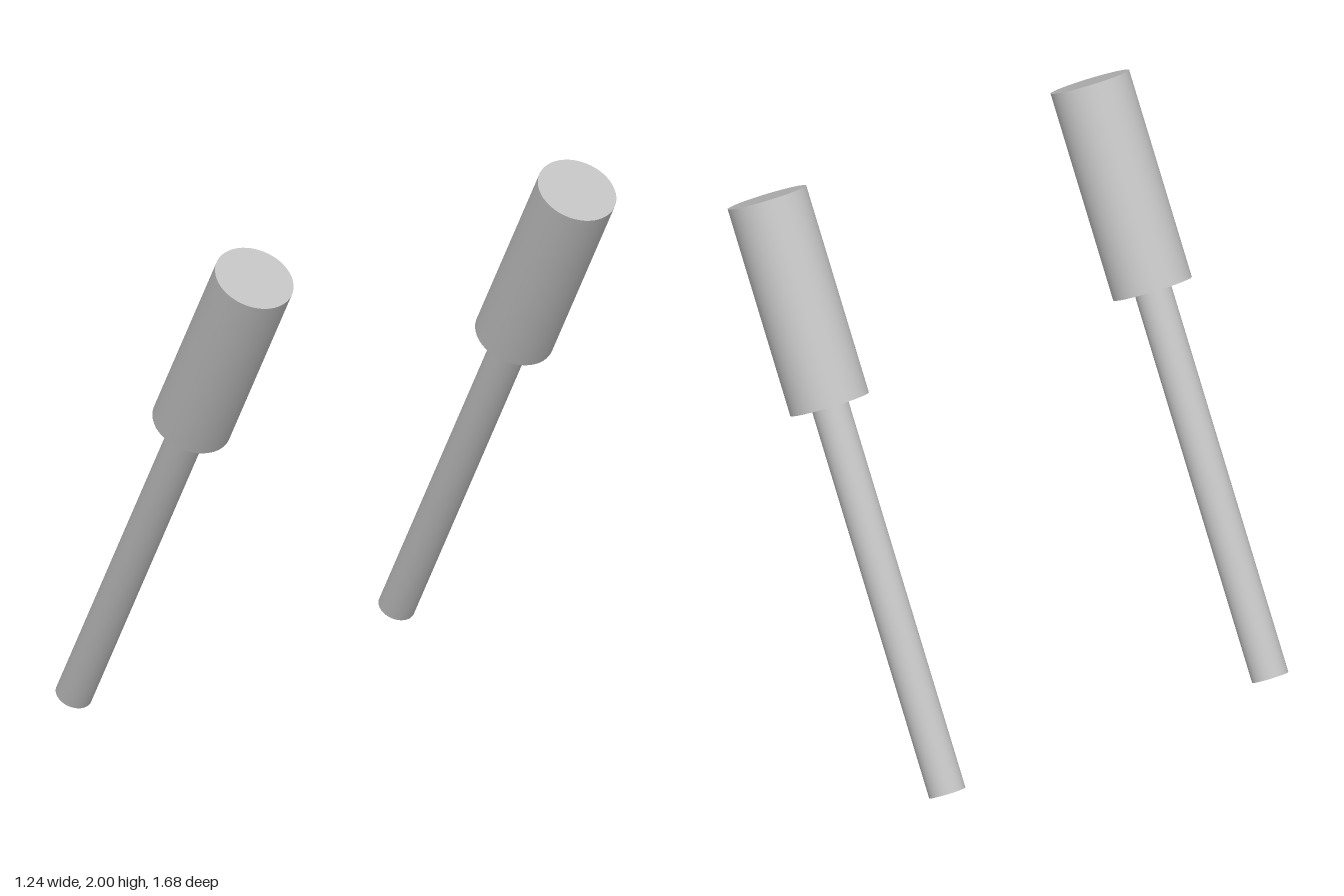
import * as THREE from 'three';

// Two parallel leaning handles, each a slim rod with a thick grip at the top.
export function createModel() {
  const group = new THREE.Group();
  const grey = new THREE.MeshStandardMaterial({ color: 0xbfbfbf });
  grey.name = 'grey';

  const foot = new THREE.Vector3(-0.564, 0.032, 0);
  const head = new THREE.Vector3(0.495, 1.93, 0);
  const length = foot.distanceTo(head);
  const gripLength = 0.755;
  const rodLength = length - gripLength;
  const lean = Math.atan2(head.x - foot.x, head.y - foot.y);

  // Solid round bar starting at the given height along the handle axis
  function bar(name, radius, barLength, start) {
    const geometry = new THREE.CylinderGeometry(radius, radius, barLength, 48);
    geometry.translate(0, start + barLength / 2, 0);
    const mesh = new THREE.Mesh(geometry, grey);
    mesh.name = name;
    return mesh;
  }

  for (const [name, z] of [['frontHandle', 0.698], ['backHandle', -0.698]]) {
    const handle = new THREE.Group();
    handle.name = name;
    handle.add(bar('rod', 0.066, rodLength, 0));
    handle.add(bar('grip', 0.143, gripLength, rodLength));
    handle.position.set(foot.x, foot.y, z);
    handle.rotation.z = -lean;
    group.add(handle);
  }
  return group;
}
